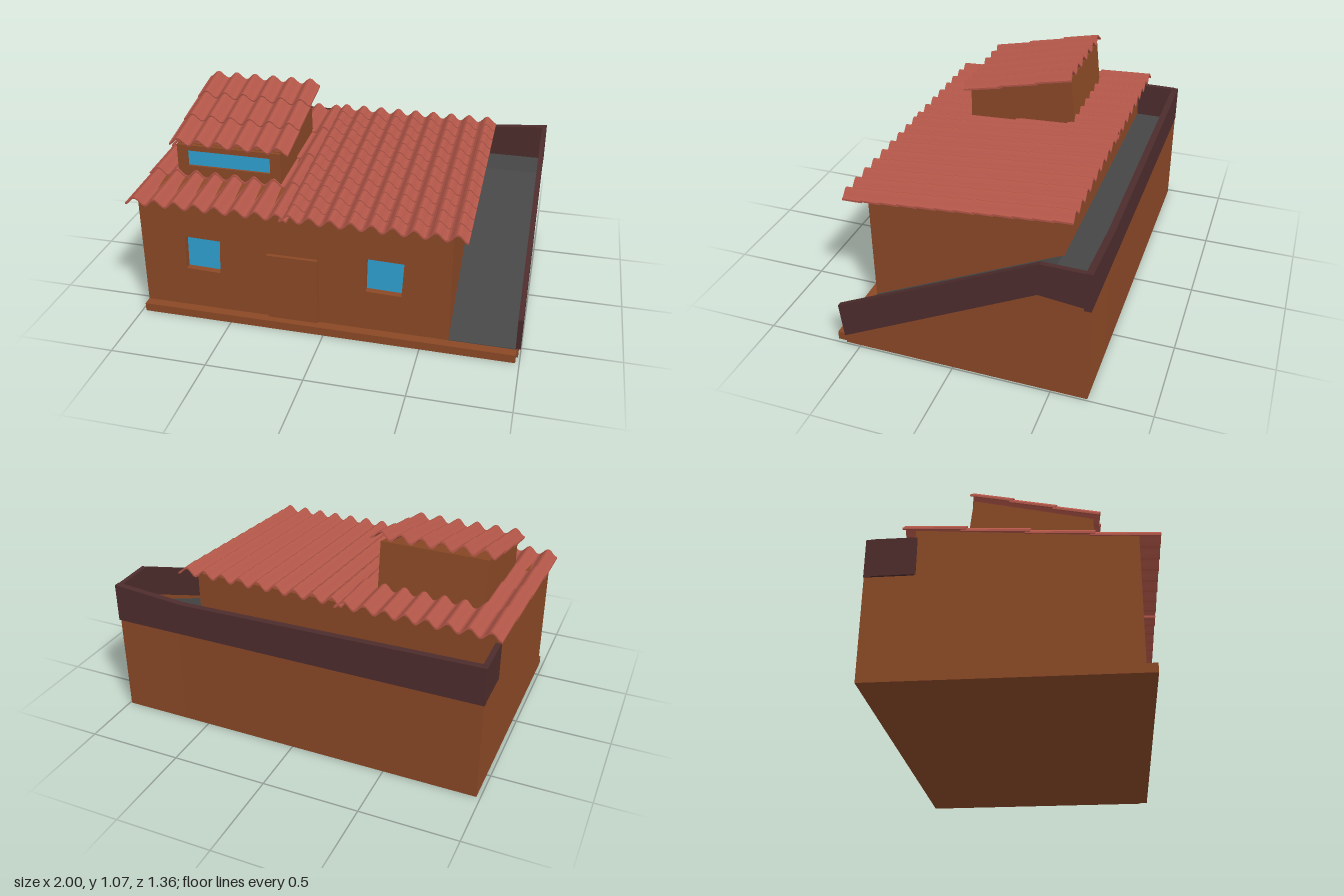
import * as THREE from 'three';

const paint = (color) => new THREE.MeshStandardMaterial({ color, flatShading: true, side: THREE.DoubleSide });

export function createModel() {
  const model = new THREE.Group();
  const clay = paint(0x8a4826), dark = paint(0x4d2c2c), grey = paint(0x474646);
  const tile = paint(0xb25648), glass = paint(0x2f9fcf);

  const add = (name, geometry, material, parent = model) => {
    const mesh = new THREE.Mesh(geometry, material);
    mesh.name = name;
    parent.add(mesh);
    return mesh;
  };
  const outline = (pts) => new THREE.Shape(pts.map(([x, y]) => new THREE.Vector2(x, y)));
  const extrude = (shape, depth) => new THREE.ExtrudeGeometry(shape, { depth, bevelEnabled: false });

  // Side profile given as [z, y], swept from x0 to x1
  const sweepX = (name, pts, x0, x1, material) => {
    const g = extrude(outline(pts.map(([z, y]) => [-z, y])), x1 - x0);
    return add(name, g.rotateY(Math.PI / 2).translate(x0, 0, 0), material);
  };
  // Front profile given as [x, y], swept from z0 to z1, with optional holes
  const sweepZ = (name, pts, z0, z1, material, holes = []) => {
    const shape = outline(pts);
    holes.forEach((h) => shape.holes.push(outline(h)));
    return add(name, extrude(shape, z1 - z0).translate(0, 0, z0), material);
  };
  const rect = (x0, x1, y0, y1) => [[x0, y0], [x1, y0], [x1, y1], [x0, y1]];

  // House: sloped body and front wall with slightly skewed window openings
  sweepX('houseBody', [[0.54, 0], [0.54, 0.683], [-0.45, 0.765], [-0.45, 0]], -0.98, 0.64, clay);
  const windows = [-0.745, 0.21].map((x) => [[x, 0.27], [x + 0.185, 0.265], [x + 0.195, 0.455], [x + 0.005, 0.46]]);
  sweepZ('frontWall', rect(-0.98, 0.64, 0, 0.68), 0.54, 0.58, clay, windows);
  windows.forEach((w) => sweepZ('windowPane', w, 0.538, 0.545, glass));
  sweepZ('door', rect(-0.3, -0.035, 0.05, 0.42), 0.57, 0.6, clay);
  sweepZ('frontStep', rect(-0.98, 0.98, 0, 0.045), 0.575, 0.63, clay);

  // Ramp on the side and walkway behind
  sweepX('rampBase', [[0.58, 0], [0.58, 0.04], [-0.44, 0.525], [-0.67, 0.525], [-0.68, 0]], 0.64, 0.985, clay);
  sweepX('rampFloor', [[0.58, 0.04], [0.58, 0.048], [-0.44, 0.533], [-0.65, 0.533], [-0.65, 0.525], [-0.44, 0.525]], 0.64, 0.98, grey);
  sweepX('walkwayBase', [[-0.44, 0], [-0.44, 0.525], [-0.68, 0.525], [-0.68, 0]], -0.98, 0.64, clay);
  sweepX('walkwayFloor', [[-0.44, 0.525], [-0.44, 0.533], [-0.65, 0.533], [-0.65, 0.525]], -0.97, 0.64, grey);
  sweepX('rampOuterWall', [[0.58, 0], [0.58, 0.05], [-0.43, 0.56], [-0.68, 0.535], [-0.68, 0]], 0.977, 0.99, clay);

  // Parapets
  sweepX('rampParapet', [[0.58, 0.05], [0.6, 0.235], [-0.44, 0.73], [-0.655, 0.727], [-0.68, 0.535], [-0.43, 0.56]], 0.975, 1, dark);
  sweepX('leftParapet', [[-0.44, 0.53], [-0.44, 0.727], [-0.66, 0.727], [-0.68, 0.53]], -0.983, -0.955, dark);
  sweepZ('backParapet', [[-0.983, 0.525], [1, 0.525], [1, 0.73], [0.6, 0.698], [-0.983, 0.725]], -0.682, -0.648, dark);

  // Roof tower with a wide recessed window
  sweepX('towerBody', [[0.35, 0.68], [0.355, 0.884], [-0.205, 1.015], [-0.235, 0.73]], -0.835, -0.28, clay);
  sweepZ('towerFront', rect(-0.835, -0.28, 0.69, 0.88), 0.35, 0.375, clay, [rect(-0.78, -0.335, 0.765, 0.85)]);
  sweepZ('towerWindow', rect(-0.78, -0.335, 0.765, 0.85), 0.356, 0.362, glass);

  // One corrugated sheet of barrel tiles, its lower front edge at the origin
  const tileSheet = (width, bumps, length) => {
    const steps = bumps * 10, top = [], bottom = [];
    for (let i = 0; i <= steps; i++) {
      const x = (i / steps) * width;
      const y = 0.019 * Math.cos((i / steps - 0.5 / bumps) * bumps * Math.PI * 2);
      top.push([x, y + 0.005]);
      bottom.unshift([x, y - 0.005]);
    }
    return extrude(outline([...top, ...bottom]), length).translate(0, 0, -length);
  };

  // Overlapping rows climbing from the front [z, y] to the back [z, y]
  const tiledRoof = (name, x0, x1, bumps, rows, front, back, lift) => {
    const roof = new THREE.Group();
    roof.name = name;
    const dz = (front[0] - back[0]) / rows, dy = (back[1] - front[1]) / rows;
    const geometry = tileSheet(x1 - x0, bumps, dz * 1.08);
    for (let r = 0; r < rows; r++) {
      const last = r === rows - 1;
      const row = add('tileRow', geometry, tile, roof);
      row.position.set(x0, front[1] + dy * r, front[0] - dz * r);
      row.rotation.x = Math.atan2(dy - lift, dz);
      if (last) row.scale.z = 1 / 1.08;
    }
    model.add(roof);
  };
  tiledRoof('mainRoofLeft', -1, -0.16, 8, 4, [0.68, 0.69], [-0.51, 0.8], 0.012);
  tiledRoof('mainRoofRight', -0.2, 0.72, 9, 12, [0.68, 0.69], [-0.51, 0.803], 0.006);
  tiledRoof('towerRoof', -0.865, -0.23, 6, 3, [0.405, 0.907], [-0.22, 1.06], 0.008);

  return model;
}
